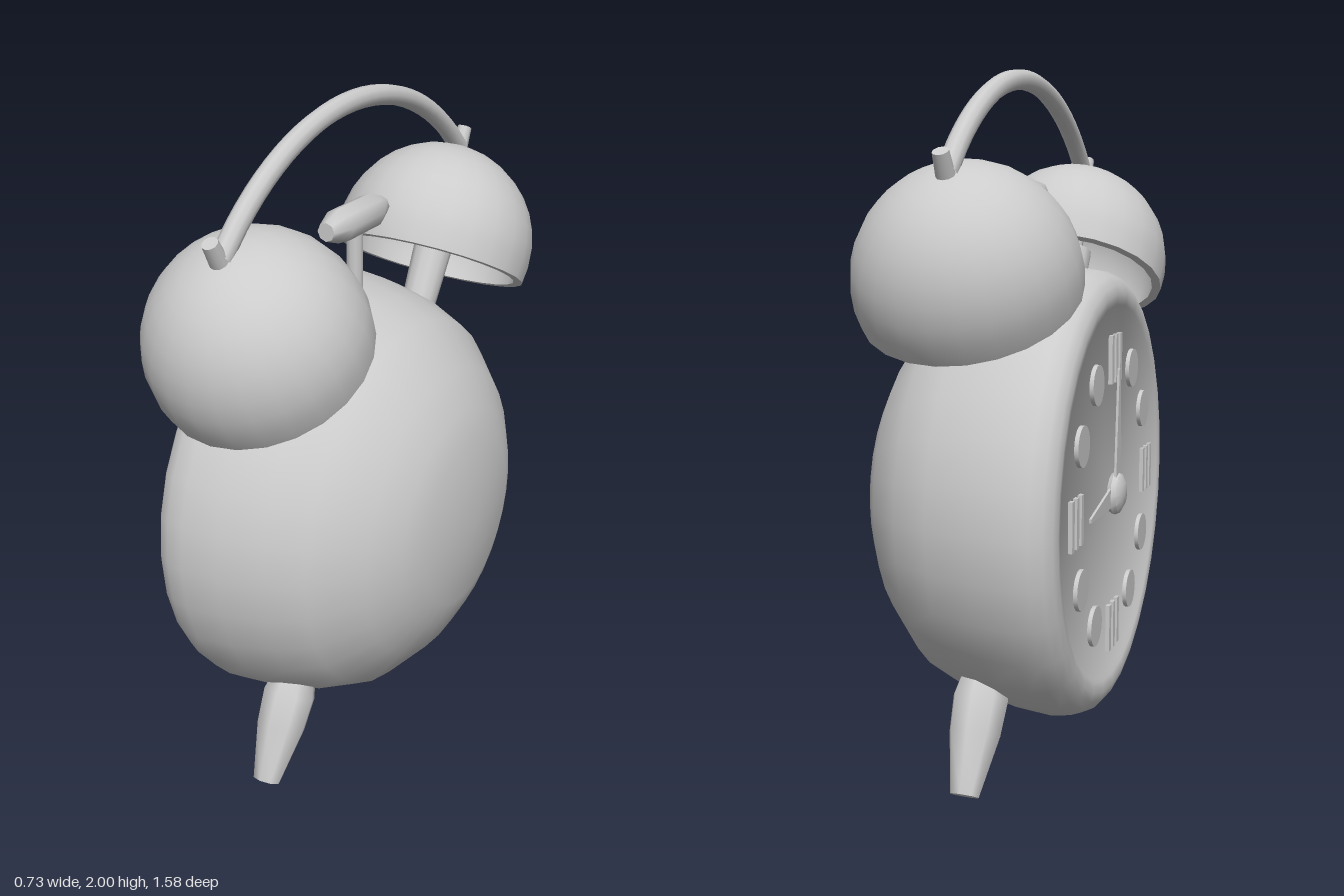
import * as THREE from 'three';
import { toCreasedNormals } from 'three/addons/utils/BufferGeometryUtils.js';

const material = new THREE.MeshStandardMaterial({ color: 0xcccccc });
const MID_X = -0.055; // plane shared by bells, handle, hammer and legs
const TILT = Math.PI / 6;

function addMesh(parent, name, geometry, x = 0, y = 0, z = 0) {
  const mesh = new THREE.Mesh(geometry, material);
  mesh.name = name;
  mesh.position.set(x, y, z);
  parent.add(mesh);
  return mesh;
}

function addGroup(parent, name, x, y, z) {
  const group = new THREE.Group();
  group.name = name;
  group.position.set(x, y, z);
  parent.add(group);
  return group;
}

// Turned solid from [radius, height] pairs listed bottom to top
function turned(points, segments, crease = 0.7) {
  const profile = points.map(([r, h]) => new THREE.Vector2(r, h));
  return toCreasedNormals(new THREE.LatheGeometry(profile, segments), crease);
}

function buildBody(clock) {
  const shell = turned([
    [0, -0.325], [0.545, -0.325], [0.555, -0.333], [0.585, -0.337], [0.61, -0.33],
    [0.635, -0.31], [0.652, -0.275], [0.66, -0.22], [0.648, -0.11], [0.615, 0.02],
    [0.565, 0.13], [0.44, 0.245], [0.34, 0.3], [0.26, 0.33], [0.13, 0.347], [0, 0.36],
  ], 32);
  shell.rotateZ(-Math.PI / 2);
  addMesh(clock, 'body', shell, 0, 0.78, 0);
}

function buildDial(clock) {
  // Local +z points out of the dial, local +x towards three o'clock
  const dial = addGroup(clock, 'dial', -0.325, 0.78, 0);
  dial.rotation.y = -Math.PI / 2;

  const dot = new THREE.CylinderGeometry(0.058, 0.058, 0.012, 20).rotateX(Math.PI / 2);
  const bar = new THREE.BoxGeometry(0.022, 0.14, 0.012);
  for (let hour = 0; hour < 12; hour++) {
    const a = (hour * Math.PI) / 6;
    const x = 0.4 * Math.sin(a), y = 0.4 * Math.cos(a);
    if (hour % 3) {
      addMesh(dial, 'hourDot', dot, x, y, 0.006);
    } else {
      for (const side of [-1, 0, 1]) addMesh(dial, 'quarterBar', bar, x + side * 0.045, y, 0.006);
    }
  }

  // Tapered hands
  const hand = (name, length, width, angle, z) => {
    const outline = new THREE.Shape([
      new THREE.Vector2(-width, 0), new THREE.Vector2(width, 0),
      new THREE.Vector2(0.006, length), new THREE.Vector2(-0.006, length),
    ]);
    const geometry = new THREE.ExtrudeGeometry(outline, { depth: 0.007, bevelEnabled: false });
    addMesh(dial, name, geometry, 0, 0, z).rotation.z = angle;
  };
  hand('minuteHand', 0.37, 0.035, 0, 0.014);
  hand('hourHand', 0.27, 0.035, Math.PI / 2 + 0.09, 0.006);

  const hub = turned([[0.058, 0], [0.065, 0.012], [0.058, 0.026], [0.035, 0.038], [0, 0.041]], 12);
  addMesh(dial, 'handHub', hub.rotateX(Math.PI / 2));
}

function buildBell(clock, side, label) {
  // Origin at the centre of the dome's sphere
  const bell = addGroup(clock, label + 'Bell', MID_X, 1.435, side * 0.482);
  bell.rotation.x = side * TILT;
  const outer = 0.307, inner = 0.28, rimY = -0.063, steps = 10;
  const arc = (radius) => {
    const start = Math.asin(rimY / radius);
    return Array.from({ length: steps + 1 }, (_, i) => {
      const a = start + ((Math.PI / 2 - start) * i) / steps;
      return [i === steps ? 0 : radius * Math.cos(a), radius * Math.sin(a)];
    });
  };
  addMesh(bell, 'dome', turned([...arc(inner).reverse(), ...arc(outer)], 24));
  addMesh(bell, 'stem', new THREE.CylinderGeometry(0.062, 0.052, 0.26, 12), 0, -0.1, 0);
  addMesh(bell, 'spindle', new THREE.CylinderGeometry(0.03, 0.03, 0.27, 10), 0, 0.155, 0);
  addMesh(bell, 'pin', new THREE.CylinderGeometry(0.022, 0.027, 0.09, 10), 0, 0.327, 0);
}

function buildLeg(clock, side, label) {
  const leg = turned([[0, 0], [0.042, 0], [0.075, 0.17], [0.081, 0.27], [0.06, 0.36], [0, 0.38]], 8, 0.9);
  addMesh(clock, label + 'Leg', leg, MID_X, 0.021, side * 0.527).rotation.x = -side * TILT;
}

function buildHandle(clock) {
  // Circular arc spanning the two bell pins
  const radius = 0.874, top = 1.971, half = Math.asin(0.63 / radius);
  const points = Array.from({ length: 13 }, (_, i) => {
    const a = -half + (2 * half * i) / 12;
    return new THREE.Vector3(MID_X, top - radius * (1 - Math.cos(a)), radius * Math.sin(a));
  });
  const curve = new THREE.CatmullRomCurve3(points);
  addMesh(clock, 'handle', new THREE.TubeGeometry(curve, 28, 0.029, 10));
}

function buildHammer(clock) {
  const hammer = addGroup(clock, 'hammer', MID_X, 0, 0);
  addMesh(hammer, 'hammerRod', new THREE.CylinderGeometry(0.024, 0.024, 0.24, 10), 0, 1.5, 0);
  const head = turned([
    [0, -0.15], [0.027, -0.15], [0.05, -0.085], [0.05, 0.085], [0.027, 0.15], [0, 0.15],
  ], 8, 0.9);
  addMesh(hammer, 'hammerHead', head.rotateX(Math.PI / 2), 0, 1.64, 0);
}

export function createModel() {
  const clock = new THREE.Group();
  clock.name = 'alarmClock';
  buildBody(clock);
  buildDial(clock);
  buildHandle(clock);
  buildHammer(clock);
  for (const [side, label] of [[1, 'front'], [-1, 'back']]) {
    buildBell(clock, side, label);
    buildLeg(clock, side, label);
  }
  return clock;
}
